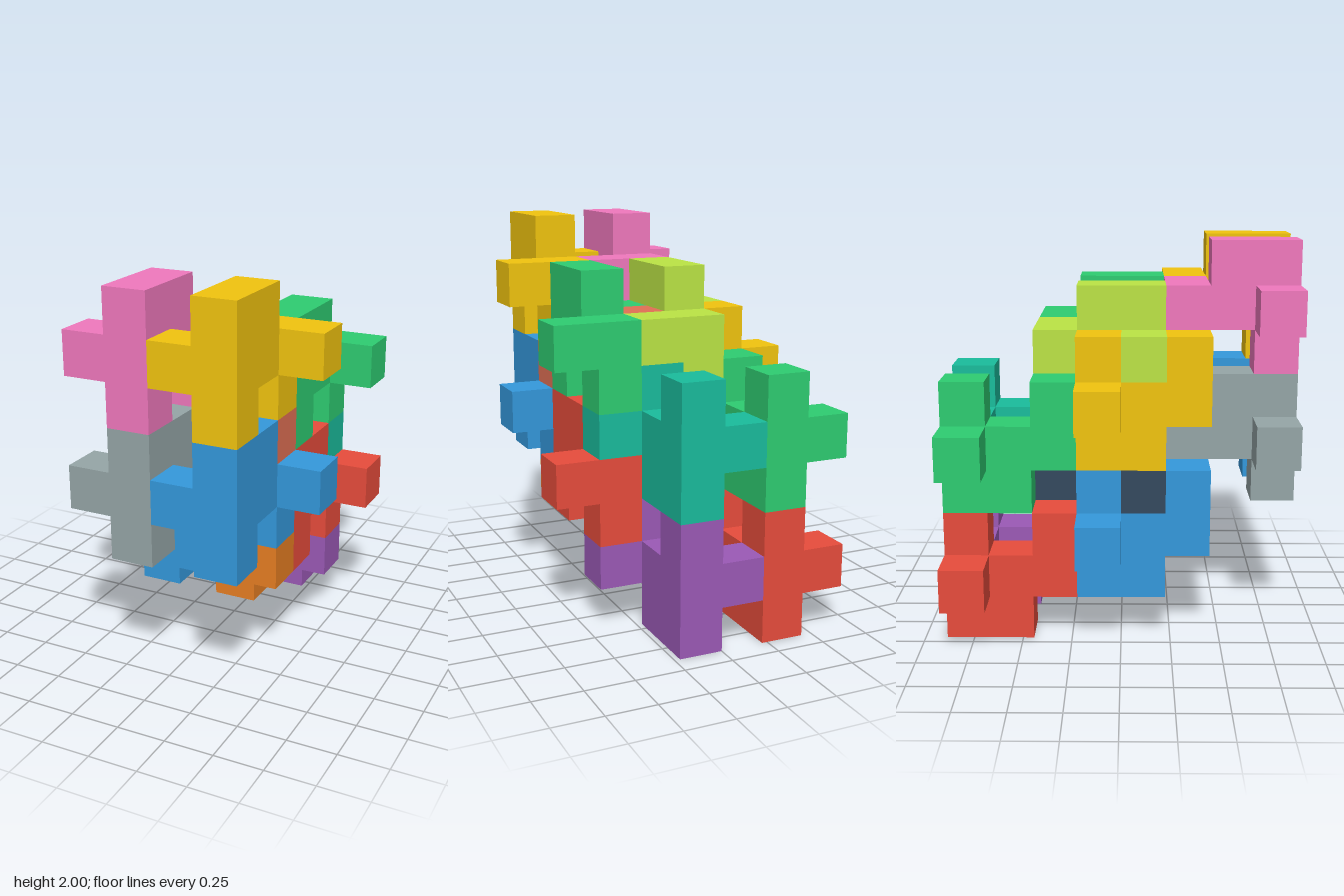
import * as THREE from 'three';
import { mergeGeometries } from 'three/addons/utils/BufferGeometryUtils.js';

const U = 2 / 9; // edge of one cube

// The nine cubes of one puzzle piece, relative to its middle cube
const CELLS = [
  [0, 0, 0], [0, 1, 0],                            // middle, with a cube on top
  [0, -1, 1], [0, 0, 1], [0, 1, 1], [-1, 0, 1],    // front column and its side arm
  [0, 0, -1], [0, -1, -1], [1, 0, -1],             // back hook and its side arm
];

// Outer skin of a piece: one square wherever a cube has no neighbour
function pieceGeometry() {
  const filled = new Set(CELLS.map(String));
  const sides = [[1, 0, 0], [-1, 0, 0], [0, 1, 0], [0, -1, 0], [0, 0, 1], [0, 0, -1]];
  const front = new THREE.Vector3(0, 0, 1);
  const faces = [];
  for (const cell of CELLS) {
    for (const side of sides) {
      if (filled.has(String(cell.map((c, a) => c + side[a])))) continue;
      const normal = new THREE.Vector3(...side);
      const turn = side[2] === -1
        ? new THREE.Quaternion(0, 1, 0, 0)
        : new THREE.Quaternion().setFromUnitVectors(front, normal);
      const centre = new THREE.Vector3(...cell).addScaledVector(normal, 0.5).multiplyScalar(U);
      faces.push(new THREE.PlaneGeometry(U, U).applyQuaternion(turn)
        .translate(centre.x, centre.y, centre.z));
    }
  }
  return mergeGeometries(faces);
}

// Name, colour, grid place of the middle cube, and whether it is turned over
const PIECES = [
  ['frontUpperLeftPiece', 0xf1c40f, [4, 7, 6], false],
  ['frontUpperRightPiece', 0xf078bd, [2, 7, 6], false],
  ['frontLowerLeftPiece', 0x3498db, [4, 4, 6], false],
  ['frontLowerRightPiece', 0x95a5a6, [2, 4, 6], false],
  ['middleUpperLeftPiece', 0x2ecc71, [4, 6, 3], false],
  ['middleUpperRightPiece', 0xbbe445, [2, 6, 3], false],
  ['middleLowerLeftPiece', 0xe74c3c, [4, 3, 3], false],
  ['corePiece', 0x34495e, [2, 3, 3], false],
  ['turnedUpperLeftPiece', 0xe17055, [3, 5, 4], true],
  ['turnedUpperRightPiece', 0xf1c40f, [1, 5, 4], true],
  ['turnedLowerLeftPiece', 0xe67e22, [3, 2, 4], true],
  ['turnedLowerRightPiece', 0x3498db, [1, 2, 4], true],
  ['backUpperLeftPiece', 0x1abc9c, [3, 4, 1], true],
  ['backUpperRightPiece', 0x2ecc71, [1, 4, 1], true],
  ['backLowerLeftPiece', 0x9b59b6, [3, 1, 1], true],
  ['backLowerRightPiece', 0xe74c3c, [1, 1, 1], true],
];

export function createModel() {
  const model = new THREE.Group();
  model.name = 'interlockingCubePuzzle';
  const geometry = pieceGeometry();
  for (const [name, color, [i, j, k], turned] of PIECES) {
    const piece = new THREE.Mesh(geometry, new THREE.MeshStandardMaterial({ color }));
    piece.name = name;
    piece.position.set((i - 2.5) * U, (j + 0.5) * U, (k - 3.5) * U);
    if (turned) piece.rotation.x = Math.PI;
    model.add(piece);
  }
  return model;
}
